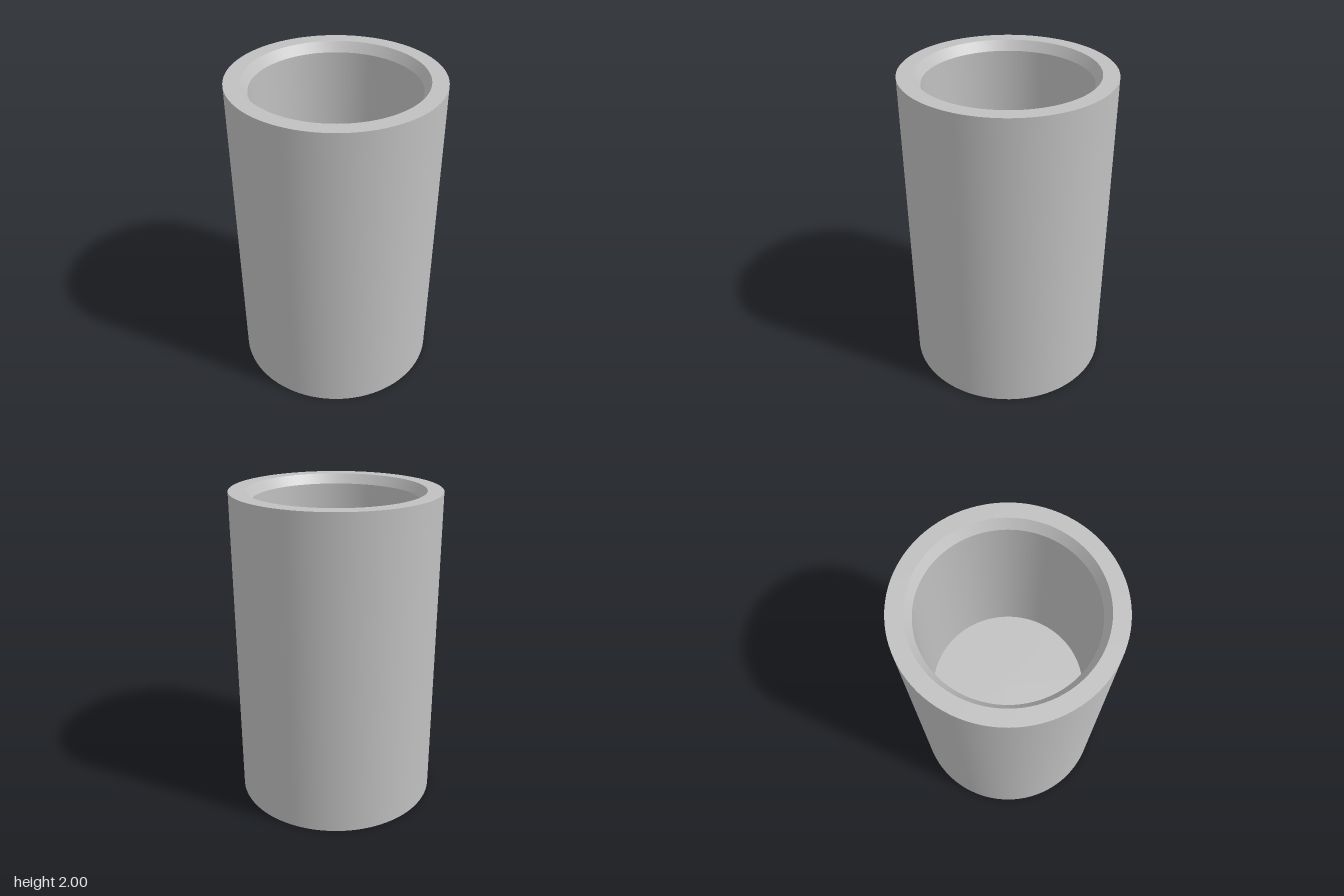
import * as THREE from 'three';

const SEGMENTS = 96;
const OUTER = 0.64, HEIGHT = 2;
const RIM = 0.543, BORE = 0.505, CHAMFER = 0.06, FLOOR = 0.8;
const SHAFT = 0.15, FLAT = 0.1, SHAFT_DEPTH = 0.6;

export function createModel() {
  const model = new THREE.Group();
  const grey = new THREE.MeshStandardMaterial({ color: 0xc0c0c0 });
  grey.name = 'plain grey';

  const add = (name, geometry) => {
    const mesh = new THREE.Mesh(geometry, grey);
    mesh.name = name;
    model.add(mesh);
    return mesh;
  };

  // One revolved band per profile edge keeps the edges between bands sharp
  const band = (name, a, b, start = 0, length = Math.PI * 2) =>
    add(name, new THREE.LatheGeometry(
      [new THREE.Vector2(...a), new THREE.Vector2(...b)], SEGMENTS, start, length));

  // Cup, from the outer wall over the rim and down to the inner floor
  const profile = [
    [OUTER, 0], [OUTER, HEIGHT], [RIM, HEIGHT],
    [BORE, HEIGHT - CHAMFER], [BORE, FLOOR], [0, FLOOR],
  ];
  ['outerWall', 'topRim', 'rimChamfer', 'innerWall', 'innerFloor']
    .forEach((name, i) => band(name, profile[i], profile[i + 1]));

  // D-shaped outline of the shaft socket, flat towards -x
  const half = Math.acos(FLAT / SHAFT);
  const outline = (target) => {
    target.absarc(0, 0, SHAFT, half - Math.PI, Math.PI - half, false);
    target.closePath();
    return target;
  };
  const facingDown = (shape) => new THREE.ShapeGeometry(shape, SEGMENTS / 2).rotateX(Math.PI / 2);

  // Underside with the socket opening
  const disc = new THREE.Shape().absarc(0, 0, OUTER, 0, Math.PI * 2, false);
  disc.holes.push(outline(new THREE.Path()));
  add('underside', facingDown(disc));

  // Blind socket: round wall, flat wall and end
  band('socketRoundWall', [SHAFT, SHAFT_DEPTH], [SHAFT, 0],
    Math.PI * 1.5 + half, Math.PI * 2 - 2 * half);
  add('socketFlatWall', new THREE.PlaneGeometry(2 * SHAFT * Math.sin(half), SHAFT_DEPTH)
    .rotateY(Math.PI / 2)).position.set(-FLAT, SHAFT_DEPTH / 2, 0);
  add('socketEnd', facingDown(outline(new THREE.Shape()))).position.y = SHAFT_DEPTH;

  return model;
}
